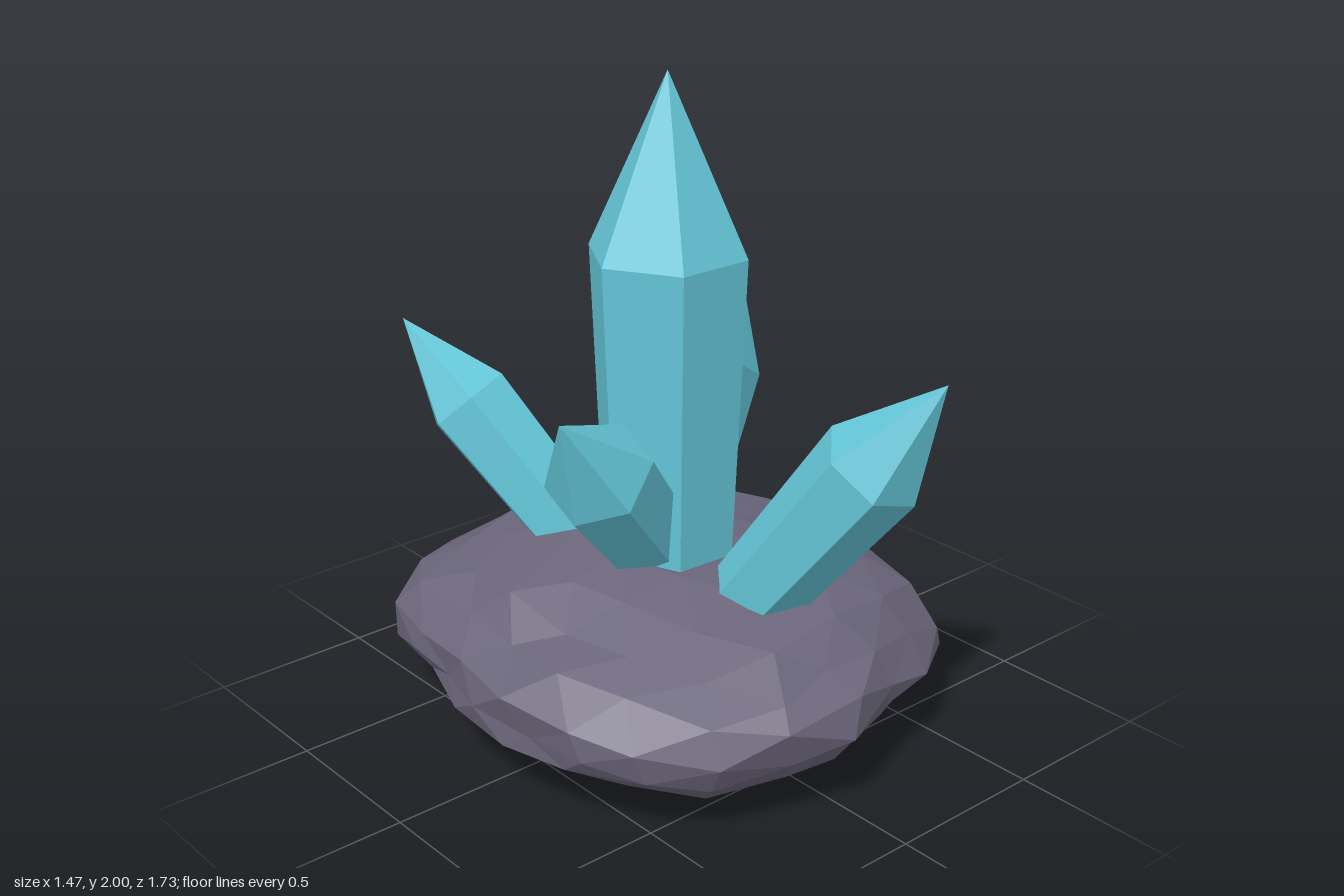
import * as THREE from 'three';

const crystalMat = new THREE.MeshStandardMaterial({ color: 0x64c6d8, flatShading: true });
crystalMat.name = 'turquoise crystal';
const rockMat = new THREE.MeshStandardMaterial({ color: 0x6b667b, flatShading: true });
rockMat.name = 'purple grey rock';

// Repeatable value in 0..1 for a point, the same for corners that coincide
function hash(v, seed) {
  const s = Math.sin(Math.round(v.x * 500) * 12.9898 + Math.round(v.y * 500) * 78.233
    + Math.round(v.z * 500) * 37.719 + seed * 11.3) * 43758.5453;
  return s - Math.floor(s);
}

// Outline radii of the rock from above, from +x turning towards +z
const OUTLINE = [0.76, 0.77, 0.86, 0.79, 0.83, 0.83, 0.82, 0.79,
  0.74, 0.76, 0.86, 0.9, 0.88, 0.82, 0.78, 0.78];

function outlineRadius(angle) {
  const n = OUTLINE.length;
  const t = ((angle / (Math.PI * 2) + 1) % 1) * n;
  const i = Math.floor(t) % n;
  return THREE.MathUtils.lerp(OUTLINE[i], OUTLINE[(i + 1) % n], t - Math.floor(t));
}

// Flattened boulder: a faceted ball pushed to the outline and roughened
function makeRock() {
  const geo = new THREE.IcosahedronGeometry(1, 3);
  const pos = geo.attributes.position;
  const v = new THREE.Vector3();
  for (let i = 0; i < pos.count; i++) {
    v.fromBufferAttribute(pos, i);
    const angle = Math.atan2(v.z, v.x) + (hash(v, 3) - 0.5) * 0.06;
    const rough = 0.94 + 0.08 * hash(v, 1);
    const r = outlineRadius(angle) * Math.hypot(v.x, v.z) * rough;
    const height = v.y > 0 ? 0.32 : 0.285;
    const y = 0.27 + v.y * height * rough + (hash(v, 2) - 0.5) * 0.045;
    pos.setXYZ(i, r * Math.cos(angle), THREE.MathUtils.clamp(y, 0, 0.585), r * Math.sin(angle));
  }
  geo.computeVertexNormals();
  const mesh = new THREE.Mesh(geo, rockMat);
  mesh.name = 'rock';
  return mesh;
}

// Six-sided crystal: tapered shaft of given length below the shoulder, point above it
function makeCrystal(name, shoulder, tip, radius, length, spin = 0) {
  const s = new THREE.Vector3(...shoulder);
  const axis = new THREE.Vector3(...tip).sub(s);
  const point = axis.length();
  const profile = [[0, -length], [radius * 0.81, -length], [radius, 0], [0, point]]
    .map(([x, y]) => new THREE.Vector2(x, y));
  const geo = new THREE.LatheGeometry(profile, 6);
  geo.rotateY(Math.PI / 6 + THREE.MathUtils.degToRad(spin));
  const mesh = new THREE.Mesh(geo, crystalMat);
  mesh.quaternion.setFromUnitVectors(new THREE.Vector3(0, 1, 0), axis.normalize());
  mesh.position.copy(s);
  mesh.name = name;
  return mesh;
}

export function createModel() {
  const model = new THREE.Group();
  model.name = 'crystalCluster';
  model.add(
    makeRock(),
    makeCrystal('mainCrystal', [-0.02, 1.48, 0.015], [-0.02, 2, 0.016], 0.24, 1.1),
    makeCrystal('frontCrystal', [0.15, 0.99, 0.68], [0.213, 1.27, 0.88], 0.158, 0.74, -10),
    makeCrystal('backCrystal', [-0.285, 0.91, -0.615], [-0.39, 1.15, -0.8], 0.142, 0.7, 6),
    makeCrystal('leftCrystal', [0.275, 1.035, -0.135], [0.445, 1.34, -0.197], 0.16, 0.75, 22),
    makeCrystal('rightCrystal', [-0.365, 0.925, 0.12], [-0.56, 1.15, 0.2], 0.163, 0.7, 18),
  );
  return model;
}
